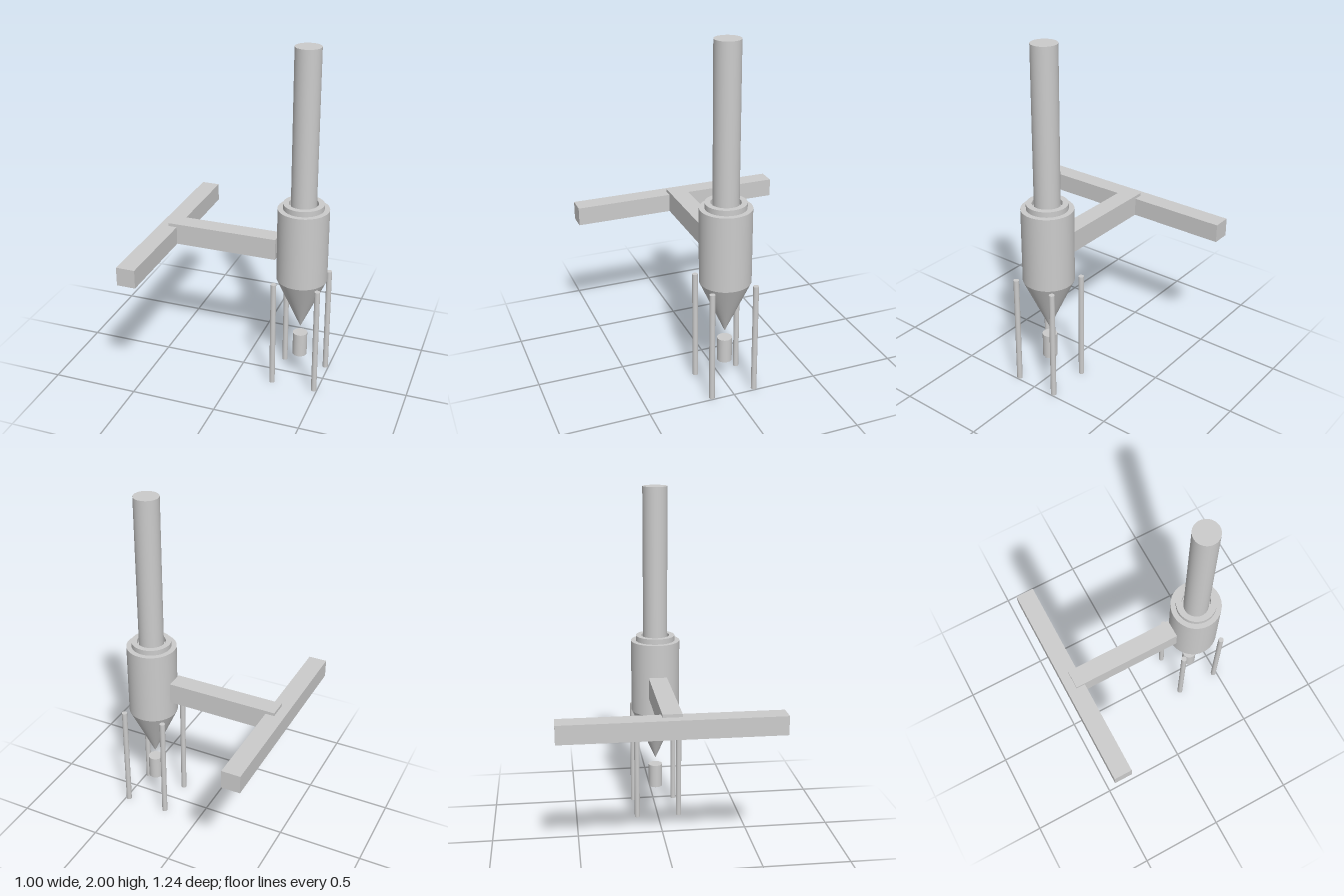
import * as THREE from 'three';

const material = new THREE.MeshStandardMaterial({ color: 0xcccccc });
const AXIS_X = 0.353; // vertical axis of the vessel

export function createModel() {
  const model = new THREE.Group();
  model.name = 'cycloneSeparator';

  const add = (name, geometry, x, y, z) => {
    const mesh = new THREE.Mesh(geometry, material);
    mesh.name = name;
    mesh.position.set(x, y, z);
    model.add(mesh);
    return mesh;
  };
  // Upright round part between two heights
  const round = (name, rTop, rBottom, y0, y1, x = AXIS_X, z = 0, sides = 64) =>
    add(name, new THREE.CylinderGeometry(rTop, rBottom, y1 - y0, sides), x, (y0 + y1) / 2, z);
  // Box between two corners
  const box = (name, x0, x1, y0, y1, z0, z1) =>
    add(name, new THREE.BoxGeometry(x1 - x0, y1 - y0, z1 - z0),
      (x0 + x1) / 2, (y0 + y1) / 2, (z0 + z1) / 2);

  // Vessel: cylinder over a pointed cone
  round('body', 0.145, 0.145, 0.655, 1.09);
  const cone = new THREE.ConeGeometry(0.145, 0.32, 64);
  cone.rotateX(Math.PI);
  add('hopperCone', cone, AXIS_X, 0.495, 0);

  // Collar ring on the lid, leaving a narrow gap round the pipe
  const ring = new THREE.Shape().absarc(0, 0, 0.115, 0, Math.PI * 2);
  ring.holes.push(new THREE.Path().absarc(0, 0, 0.083, 0, Math.PI * 2, true));
  const collar = new THREE.ExtrudeGeometry(ring, { depth: 0.031, bevelEnabled: false, curveSegments: 64 });
  collar.rotateX(-Math.PI / 2);
  add('lidCollar', collar, AXIS_X, 1.09, 0);

  // Outlet pipe and collecting pot
  round('outletPipe', 0.072, 0.072, 1.09, 2);
  round('collectingPot', 0.042, 0.042, 0.15, 0.293);

  // Four legs
  for (const sx of [-1, 1]) {
    for (const sz of [-1, 1]) {
      round('leg', 0.016, 0.016, 0, 0.655, AXIS_X + sx * 0.128, sz * 0.128, 32);
    }
  }

  // Inlet duct and the cross duct feeding it
  box('inletDuct', -0.445, 0.208, 0.77, 0.895, -0.055, 0.053);
  box('crossDuct', -0.5, -0.393, 0.77, 0.877, -0.62, 0.617);

  return model;
}
